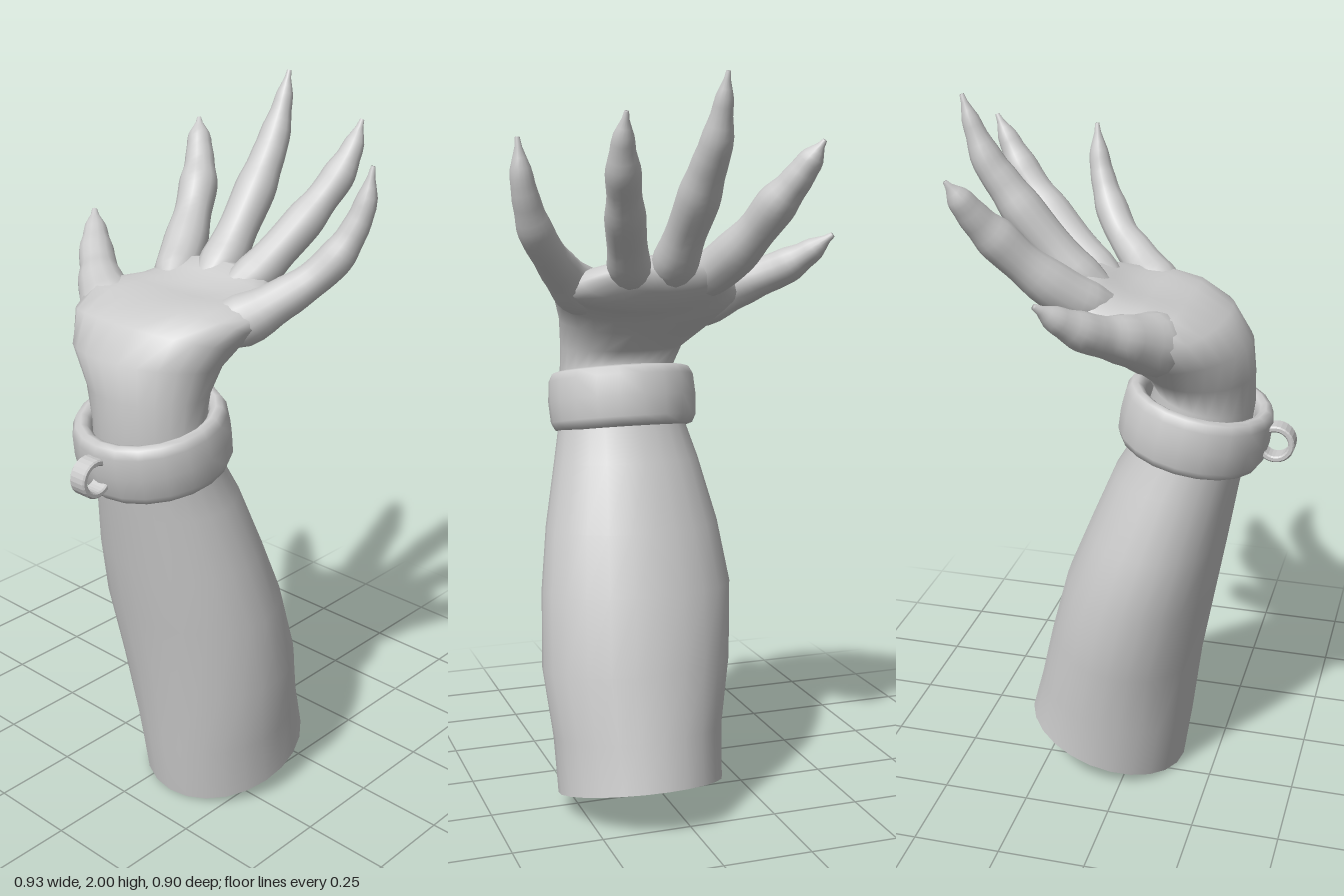
import * as THREE from 'three';

const SIDES = 24;
const material = new THREE.MeshStandardMaterial({ color: 0xcccccc });
const openMaterial = new THREE.MeshStandardMaterial({ color: 0xcccccc, side: THREE.DoubleSide });

// Skin a list of equal rings (arrays of Vector3) with shared, smooth vertices
function loft(rings) {
  const n = rings[0].length;
  const index = [];
  for (let r = 0; r < rings.length - 1; r++) {
    for (let i = 0; i < n; i++) {
      const a = r * n + i, b = r * n + (i + 1) % n;
      index.push(a, a + n, b, b, a + n, b + n);
    }
  }
  const geometry = new THREE.BufferGeometry().setFromPoints(rings.flat());
  geometry.setIndex(index);
  geometry.computeVertexNormals();
  return geometry;
}

function addMesh(parent, name, geometry, meshMaterial = material) {
  const mesh = new THREE.Mesh(geometry, meshMaterial);
  mesh.name = name;
  parent.add(mesh);
  return mesh;
}

// Oval ring from its x range and its front and back points; hollow dents the palm side
function ovalRing([xMin, xMax, yFront, zFront, yBack, zBack, hollow = 0], scale = 1) {
  const ring = [];
  for (let i = 0; i < SIDES; i++) {
    const t = i / SIDES * Math.PI * 2;
    const c = Math.cos(t) * scale;
    let s = Math.sin(t) * scale;
    if (s > 0) s -= hollow * s ** 5;
    ring.push(new THREE.Vector3(
      (xMin + xMax) / 2 + c * (xMax - xMin) / 2,
      (yFront + yBack) / 2 + s * (yFront - yBack) / 2,
      (zFront + zBack) / 2 + s * (zFront - zBack) / 2));
  }
  return ring;
}

// Tapering finger along a smooth path; each knot is [x, y, z, radius]
function fingerGeometry(knots) {
  const curve = new THREE.CatmullRomCurve3(knots.map(k => new THREE.Vector3(k[0], k[1], k[2])));
  const steps = (knots.length - 1) * 4;
  const side = new THREE.Vector3(), up = new THREE.Vector3();
  const root = curve.getPoint(0), tip = curve.getPoint(1);
  const rings = [Array.from({ length: 14 }, () => root.clone())];
  for (let j = 0; j <= steps; j++) {
    const u = j / steps;
    const k = Math.min(Math.floor(u * (knots.length - 1)), knots.length - 2);
    const f = u * (knots.length - 1) - k;
    const radius = THREE.MathUtils.lerp(knots[k][3], knots[k + 1][3], f * f * (3 - 2 * f));
    const centre = curve.getPoint(u), tangent = curve.getTangent(u);
    // Reference frame that stays steady along the finger
    side.set(0.3, 0.5, 1).cross(tangent).normalize();
    up.crossVectors(tangent, side);
    rings.push(rings[0].map((_, i) => {
      const t = i / 14 * Math.PI * 2;
      return centre.clone()
        .addScaledVector(side, Math.cos(t) * radius)
        .addScaledVector(up, -Math.sin(t) * radius);
    }));
  }
  rings.push(rings[0].map(() => tip.clone()));
  return loft(rings);
}

export function createModel() {
  const model = new THREE.Group();
  model.name = 'armWithCuff';

  // Forearm (open at the bottom), wrist and palm: xMin, xMax, front y z, back y z, hollow
  const sections = [
    [-0.14, 0.32, 0.00, 0.15, 0.14, -0.32],
    [-0.15, 0.325, 0.17, 0.175, 0.27, -0.285],
    [-0.185, 0.348, 0.38, 0.20, 0.44, -0.245],
    [-0.205, 0.335, 0.60, 0.24, 0.64, -0.19],
    [-0.185, 0.308, 0.78, 0.272, 0.80, -0.125],
    [-0.145, 0.268, 0.95, 0.30, 0.98, -0.05],
    [-0.115, 0.24, 1.06, 0.32, 1.10, 0.02],
    [-0.095, 0.23, 1.18, 0.335, 1.24, 0.06],
    [-0.12, 0.23, 1.28, 0.335, 1.28, 0.04],
    [-0.195, 0.24, 1.38, 0.33, 1.33, -0.01],
    [-0.235, 0.265, 1.465, 0.285, 1.36, -0.045, 0.1],
    [-0.25, 0.285, 1.515, 0.20, 1.38, -0.065, 0.3],
    [-0.22, 0.295, 1.53, 0.10, 1.395, -0.085, 0.45],
    [-0.19, 0.285, 1.53, 0.02, 1.405, -0.10, 0.4],
    [-0.165, 0.25, 1.54, -0.05, 1.425, -0.12, 0.2],
    [-0.14, 0.205, 1.55, -0.10, 1.455, -0.145],
    [-0.10, 0.165, 1.545, -0.13, 1.49, -0.16],
  ];
  const skin = sections.map(s => ovalRing(s));
  skin.push(ovalRing(sections[sections.length - 1], 0));
  addMesh(model, 'forearmAndPalm', loft(skin), openMaterial);

  // Fingers, each swelling out of the palm, with knuckles and a pointed nail
  const fingers = {
    thumb: [
      [-0.06, 1.40, 0.17, 0.05], [-0.16, 1.42, 0.11, 0.085], [-0.25, 1.457, 0.06, 0.066],
      [-0.315, 1.485, 0.01, 0.052], [-0.36, 1.51, -0.025, 0.05], [-0.41, 1.55, -0.07, 0.035],
      [-0.458, 1.597, -0.113, 0.008]],
    indexFinger: [
      [-0.05, 1.465, 0.0, 0.03], [-0.105, 1.495, -0.085, 0.062], [-0.148, 1.552, -0.165, 0.062],
      [-0.185, 1.62, -0.235, 0.052], [-0.213, 1.68, -0.285, 0.055], [-0.245, 1.735, -0.325, 0.042],
      [-0.275, 1.79, -0.355, 0.034], [-0.302, 1.842, -0.383, 0.006]],
    middleFinger: [
      [0.02, 1.465, -0.03, 0.03], [0.01, 1.53, -0.14, 0.062], [0.004, 1.615, -0.215, 0.054],
      [-0.003, 1.70, -0.285, 0.057], [-0.008, 1.77, -0.335, 0.048], [-0.014, 1.83, -0.375, 0.043],
      [-0.017, 1.92, -0.412, 0.026], [-0.02, 2.0, -0.438, 0.006]],
    ringFinger: [
      [0.09, 1.465, -0.03, 0.03], [0.132, 1.52, -0.13, 0.058], [0.16, 1.585, -0.20, 0.052],
      [0.185, 1.65, -0.265, 0.053], [0.205, 1.71, -0.32, 0.044], [0.22, 1.76, -0.36, 0.045],
      [0.233, 1.83, -0.40, 0.03], [0.235, 1.902, -0.435, 0.006]],
    littleFinger: [
      [0.13, 1.43, 0.10, 0.04], [0.225, 1.455, 0.02, 0.07], [0.295, 1.51, -0.05, 0.054],
      [0.345, 1.56, -0.11, 0.046], [0.385, 1.615, -0.15, 0.047], [0.413, 1.68, -0.18, 0.037],
      [0.432, 1.75, -0.2, 0.03], [0.444, 1.848, -0.21, 0.006]],
  };
  for (const [name, knots] of Object.entries(fingers)) addMesh(model, name, fingerGeometry(knots));

  // Padded cuff, tilted to follow the forearm
  const cuffProfile = [
    [0.155, -0.06], [0.165, -0.078], [0.18, -0.085], [0.196, -0.08], [0.207, -0.058], [0.211, 0],
    [0.207, 0.058], [0.196, 0.08], [0.18, 0.085], [0.165, 0.078], [0.155, 0.06], [0.155, -0.06],
  ].map(p => new THREE.Vector2(...p));
  const cuff = addMesh(model, 'cuff', new THREE.LatheGeometry(cuffProfile, 20));
  cuff.position.set(0.057, 1.13, 0.175);
  cuff.rotation.x = 0.2;

  // Flat ring on the front of the cuff
  const band = new THREE.Shape().absarc(0, 0, 0.053, 0, Math.PI * 2);
  band.holes.push(new THREE.Path().absarc(0, 0, 0.036, 0, Math.PI * 2, true));
  const ringGeometry = new THREE.ExtrudeGeometry(band, {
    depth: 0.045, bevelEnabled: true, bevelSize: 0.004, bevelThickness: 0.004,
    bevelOffset: -0.004, bevelSegments: 1, curveSegments: 12,
  });
  ringGeometry.translate(0, 0, -0.0225);
  const ring = addMesh(model, 'cuffRing', ringGeometry);
  ring.rotation.y = Math.PI / 2;
  ring.position.set(0.058, 1.09, 0.4);

  return model;
}
